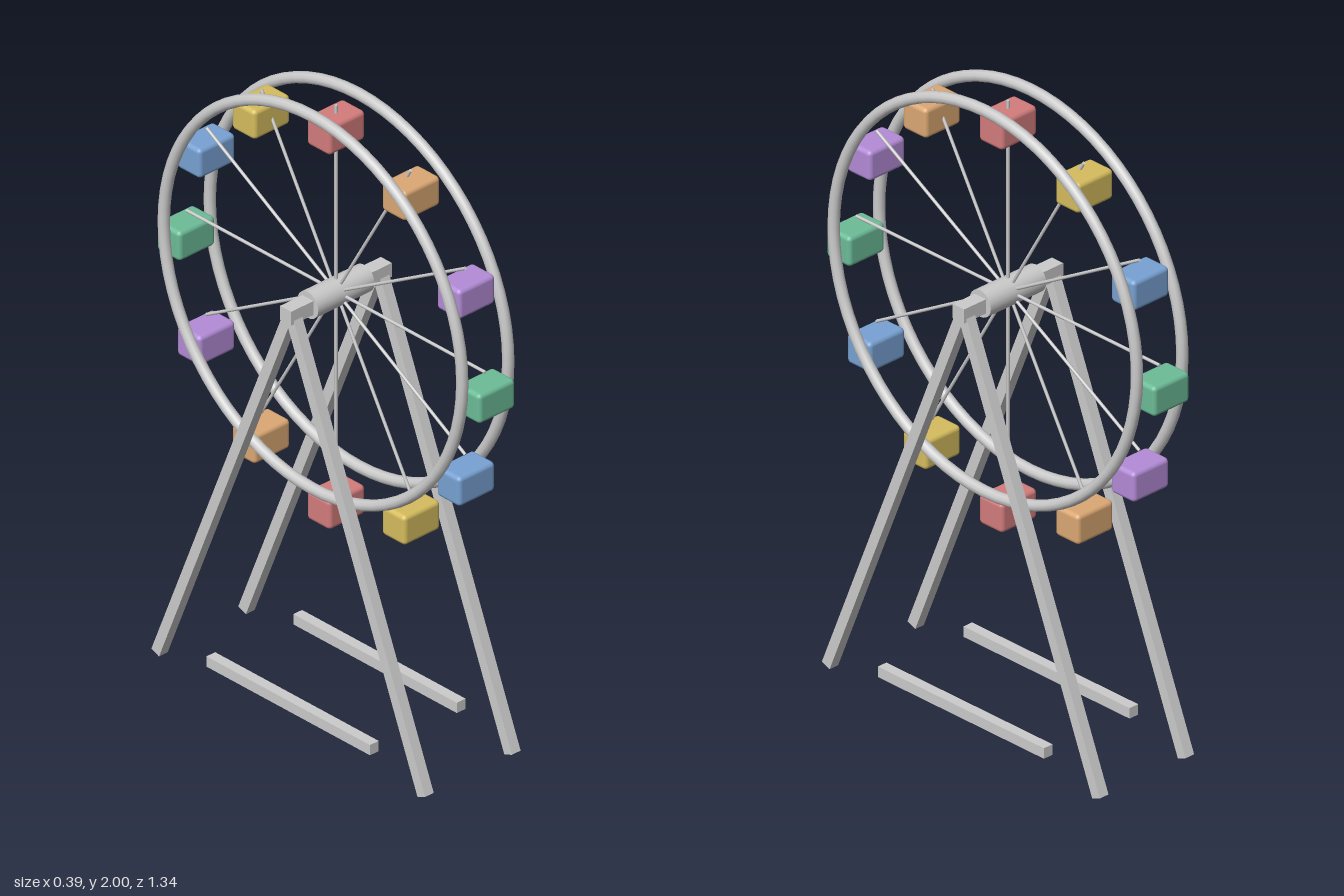
import * as THREE from 'three';
import { RoundedBoxGeometry } from 'three/addons/geometries/RoundedBoxGeometry.js';

const HUB_Y = 1.365;
const WHEEL_R = 0.617;
const LEG_X = 0.17;
const CABIN_COLORS = [0xd47c7c, 0xd6bd5e, 0x78a2d4, 0x6cbd98, 0xb48cd8, 0xdca874];

export function createModel() {
  const model = new THREE.Group();
  model.name = 'ferrisWheel';
  const grey = new THREE.MeshStandardMaterial({ color: 0xcccccc });

  function add(parent, name, geometry, material = grey) {
    const mesh = new THREE.Mesh(geometry, material);
    mesh.name = name;
    parent.add(mesh);
    return mesh;
  }

  // Wheel, spinning about the x axis
  const wheel = new THREE.Group();
  wheel.name = 'wheel';
  wheel.position.y = HUB_Y;
  model.add(wheel);

  // Twin rims
  const rimGeo = new THREE.TorusGeometry(WHEEL_R, 0.018, 10, 72).rotateY(Math.PI / 2);
  for (const side of [-1, 1]) {
    add(wheel, side > 0 ? 'leftRim' : 'rightRim', rimGeo).position.x = side * 0.09;
  }

  // Hub drum and square axle
  add(wheel, 'hub', new THREE.CylinderGeometry(0.043, 0.043, 0.22, 20).rotateZ(Math.PI / 2));
  add(wheel, 'axle', new THREE.BoxGeometry(0.394, 0.046, 0.046));

  // Spokes, each carrying an upright cabin just below its tip
  const spokeGeo = new THREE.CylinderGeometry(0.005, 0.005, WHEEL_R, 8).translate(0, WHEEL_R / 2, 0);
  const cabinGeo = new RoundedBoxGeometry(0.143, 0.097, 0.097, 3, 0.014);
  const cabinMaterials = CABIN_COLORS.map((color) => new THREE.MeshStandardMaterial({ color }));
  for (let i = 0; i < 12; i++) {
    const angle = (i * Math.PI) / 6;
    add(wheel, 'spoke', spokeGeo).rotation.x = -angle;
    const cabin = add(wheel, 'cabin', cabinGeo, cabinMaterials[i % 6]);
    cabin.position.set(0, Math.cos(angle) * 0.62 - 0.077, -Math.sin(angle) * 0.62);
  }

  // A-frame legs and low base bars on both sides
  const foot = new THREE.Vector2(0.55, 0.0065);
  const legRise = HUB_Y - foot.y;
  const legGeo = new THREE.BoxGeometry(0.034, Math.hypot(foot.x, legRise), 0.034);
  const barGeo = new THREE.BoxGeometry(0.034, 0.034, 0.676);
  for (const side of [-1, 1]) {
    const frame = new THREE.Group();
    frame.name = side > 0 ? 'leftSupport' : 'rightSupport';
    frame.position.x = side * LEG_X;
    model.add(frame);
    for (const end of [-1, 1]) {
      const leg = add(frame, end > 0 ? 'frontLeg' : 'backLeg', legGeo);
      leg.position.set(0, (HUB_Y + foot.y) / 2, (end * foot.x) / 2);
      leg.rotation.x = -end * Math.atan2(foot.x, legRise);
    }
    add(frame, 'baseBar', barGeo).position.y = 0.069;
  }

  return model;
}
